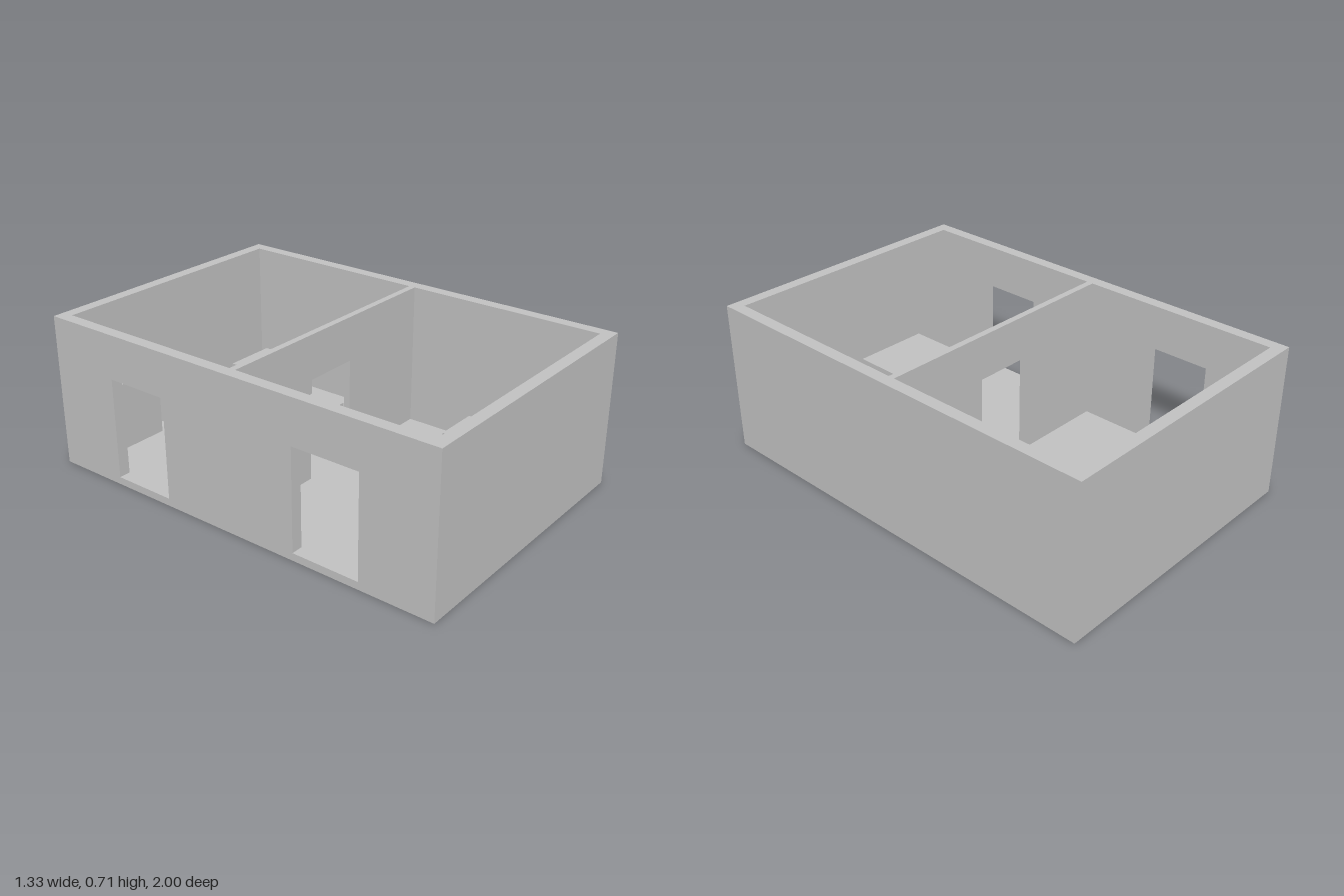
import * as THREE from 'three';

const W = 0.665, D = 1, H = 0.71;   // half width, half depth, height
const FLOOR = 0.035, DOOR_TOP = 0.505;
const IX = 0.61, IZ = 0.945;        // inner faces of the outer walls

export function createModel() {
  const model = new THREE.Group();
  const plaster = new THREE.MeshStandardMaterial({ color: 0xc0c0c0 });
  plaster.name = 'plaster grey';

  const add = (name, geometry) => {
    const mesh = new THREE.Mesh(geometry, plaster);
    mesh.name = name;
    model.add(mesh);
    return mesh;
  };

  // Box given by its extents on each axis
  const block = (name, x0, x1, y0, y1, z0, z1) => {
    const mesh = add(name, new THREE.BoxGeometry(x1 - x0, y1 - y0, z1 - z0));
    mesh.position.set((x0 + x1) / 2, (y0 + y1) / 2, (z0 + z1) / 2);
  };

  // Upright wall from u0 to u1 with doorways notched up from the floor
  const wallWithDoors = (u0, u1, thickness, doors) => {
    const s = new THREE.Shape();
    s.moveTo(u0, FLOOR);
    for (const [a, b] of doors) {
      s.lineTo(a, FLOOR);
      s.lineTo(a, DOOR_TOP);
      s.lineTo(b, DOOR_TOP);
      s.lineTo(b, FLOOR);
    }
    s.lineTo(u1, FLOOR);
    s.lineTo(u1, H);
    s.lineTo(u0, H);
    s.closePath();
    return new THREE.ExtrudeGeometry(s, { depth: thickness, bevelEnabled: false });
  };

  // Floor slab and solid outer walls
  block('floorSlab', -W, W, 0, FLOOR, -D, D);
  block('frontWall', -W, W, FLOOR, H, IZ, D);
  block('backWall', -W, W, FLOOR, H, -D, -IZ);
  block('leftWall', IX, W, FLOOR, H, -IZ, IZ);

  // Right wall with one outside door per room
  const rightWall = add('rightWall',
    wallWithDoors(-IZ, IZ, W - IX, [[-0.655, -0.35], [0.335, 0.655]]));
  rightWall.rotation.y = -Math.PI / 2;
  rightWall.position.x = -IX;

  // Thin partition with a doorway between the rooms
  const partition = add('partitionWall', wallWithDoors(-IX, IX, 0.03, [[-0.155, 0.12]]));
  partition.position.z = -0.018;

  // Furniture blocks: name, x range, z range, top height
  const furniture = [
    ['backCabinet', -0.49, -0.23, -IZ, -0.84, 0.355],
    ['backBench', -0.155, 0.01, -0.937, -0.655, 0.23],
    ['backTable', 0.28, 0.54, -0.85, -0.55, 0.21],
    ['stool', 0.255, 0.375, -0.34, -0.22, 0.14],
    ['frontTable', -0.39, -0.01, 0.69, 0.92, 0.215],
    ['frontCounter', 0.21, 0.425, 0.45, 0.905, 0.253],
  ];
  for (const [name, x0, x1, z0, z1, top] of furniture) block(name, x0, x1, FLOOR, top, z0, z1);

  return model;
}
